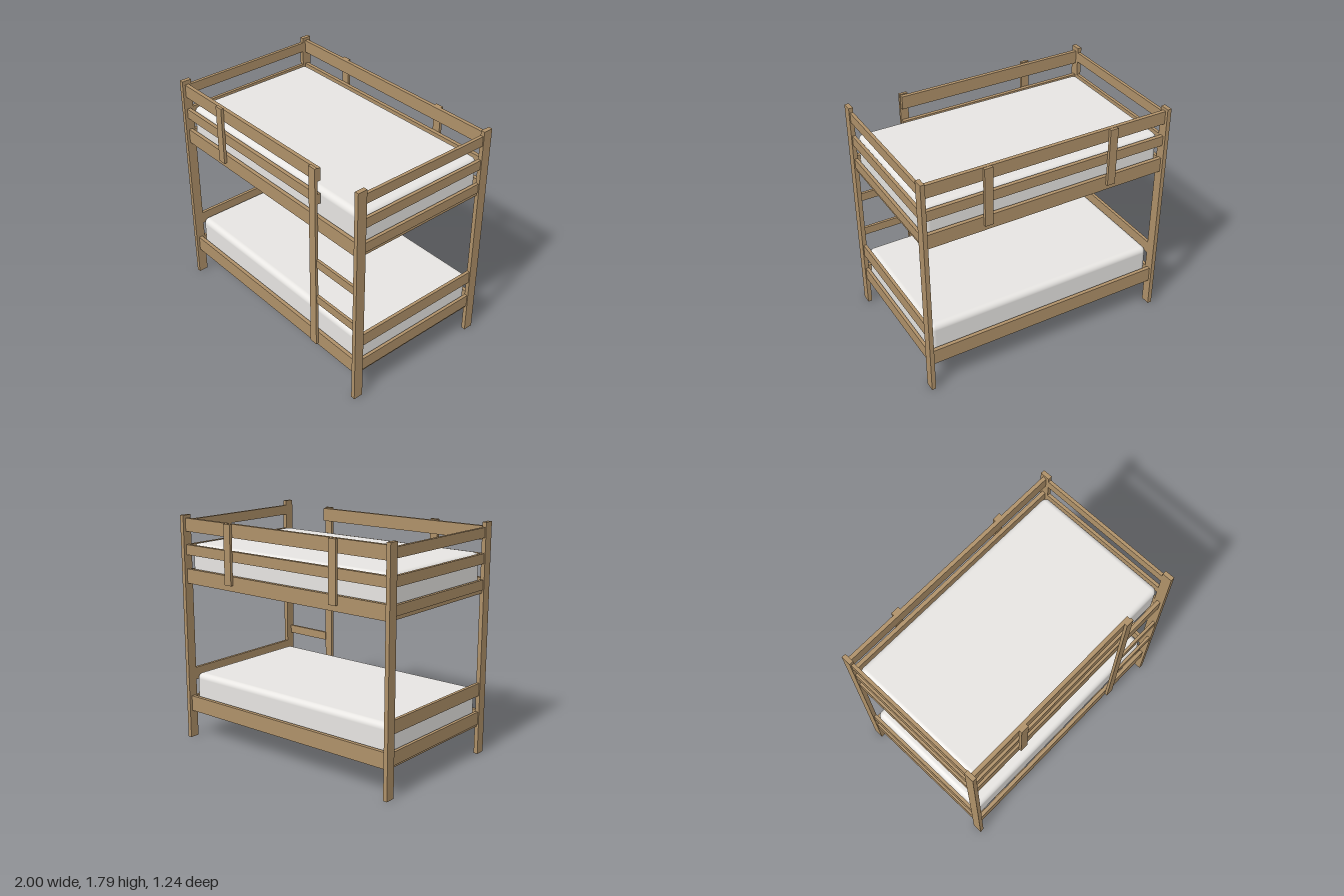
import * as THREE from 'three';
import { RoundedBoxGeometry } from 'three/addons/geometries/RoundedBoxGeometry.js';

export function createModel() {
  const model = new THREE.Group();
  model.name = 'bunkBed';
  const wood = new THREE.MeshStandardMaterial({ color: 0xaf9169 });
  wood.name = 'wood';
  const fabric = new THREE.MeshStandardMaterial({ color: 0xeae8e5 });
  fabric.name = 'mattress fabric';

  // wooden board given by its extents on each axis
  function board(name, [x0, x1], [y0, y1], [z0, z1]) {
    const mesh = new THREE.Mesh(new THREE.BoxGeometry(x1 - x0, y1 - y0, z1 - z0), wood);
    mesh.position.set((x0 + x1) / 2, (y0 + y1) / 2, (z0 + z1) / 2);
    mesh.name = name;
    model.add(mesh);
  }
  // extent a..b on the positive side, or mirrored
  const side = (s, a, b) => (s > 0 ? [a, b] : [-b, -a]);

  // corner posts
  for (const sx of [-1, 1]) for (const sz of [-1, 1])
    board('cornerPost', side(sx, 0.967, 1), [0, 1.795], side(sz, 0.543, 0.62));

  // end boards between the posts
  const endHeights = [[0.24, 0.34], [0.47, 0.57], [1.292, 1.368], [1.488, 1.565], [1.68, 1.757]];
  for (const sx of [-1, 1]) for (const y of endHeights)
    board('endBoard', side(sx, 0.967, 0.992), y, [-0.545, 0.545]);

  // long side rails of both bunks
  for (const sz of [-1, 1]) for (const y of [[0.222, 0.345], [1.264, 1.378]])
    board('sideRail', [-0.97, 0.97], y, side(sz, 0.567, 0.597));

  // guard rails: the front ones stop at the ladder and sit slightly lower
  for (const y of [[1.478, 1.557], [1.66, 1.762]])
    board('frontGuardRail', [-0.97, 0.57], y, [0.567, 0.597]);
  for (const y of [[1.488, 1.567], [1.67, 1.772]])
    board('backGuardRail', [-0.97, 0.97], y, [-0.597, -0.567]);

  // uprights holding the guard rails
  board('frontUpright', [-0.54, -0.475], [1.31, 1.77], [0.597, 0.62]);
  for (const x of [-0.54, 0.467])
    board('backUpright', [x, x + 0.065], [1.31, 1.77], [-0.62, -0.597]);

  // ladder
  board('ladderPost', [0.51, 0.575], [0.24, 1.77], [0.597, 0.62]);
  for (const y of [0.632, 0.953])
    board('ladderRung', [0.57, 0.97], [y, y + 0.066], [0.59, 0.612]);

  // slats and mattresses
  const bunks = [
    { name: 'lower', base: 0.223, top: 0.53 },
    { name: 'upper', base: 1.265, top: 1.573 },
  ];
  for (const { name, base, top } of bunks) {
    for (let i = -4; i <= 4; i++) {
      const x = i * 0.232;
      board(name + 'Slat', [x - 0.056, x + 0.056], [base, base + 0.035], [-0.57, 0.57]);
    }
    const height = top - base - 0.035;
    const mattress = new THREE.Mesh(new RoundedBoxGeometry(1.912, height, 1.108, 5, 0.045), fabric);
    mattress.position.y = top - height / 2;
    mattress.name = name + 'Mattress';
    model.add(mattress);
  }
  return model;
}
